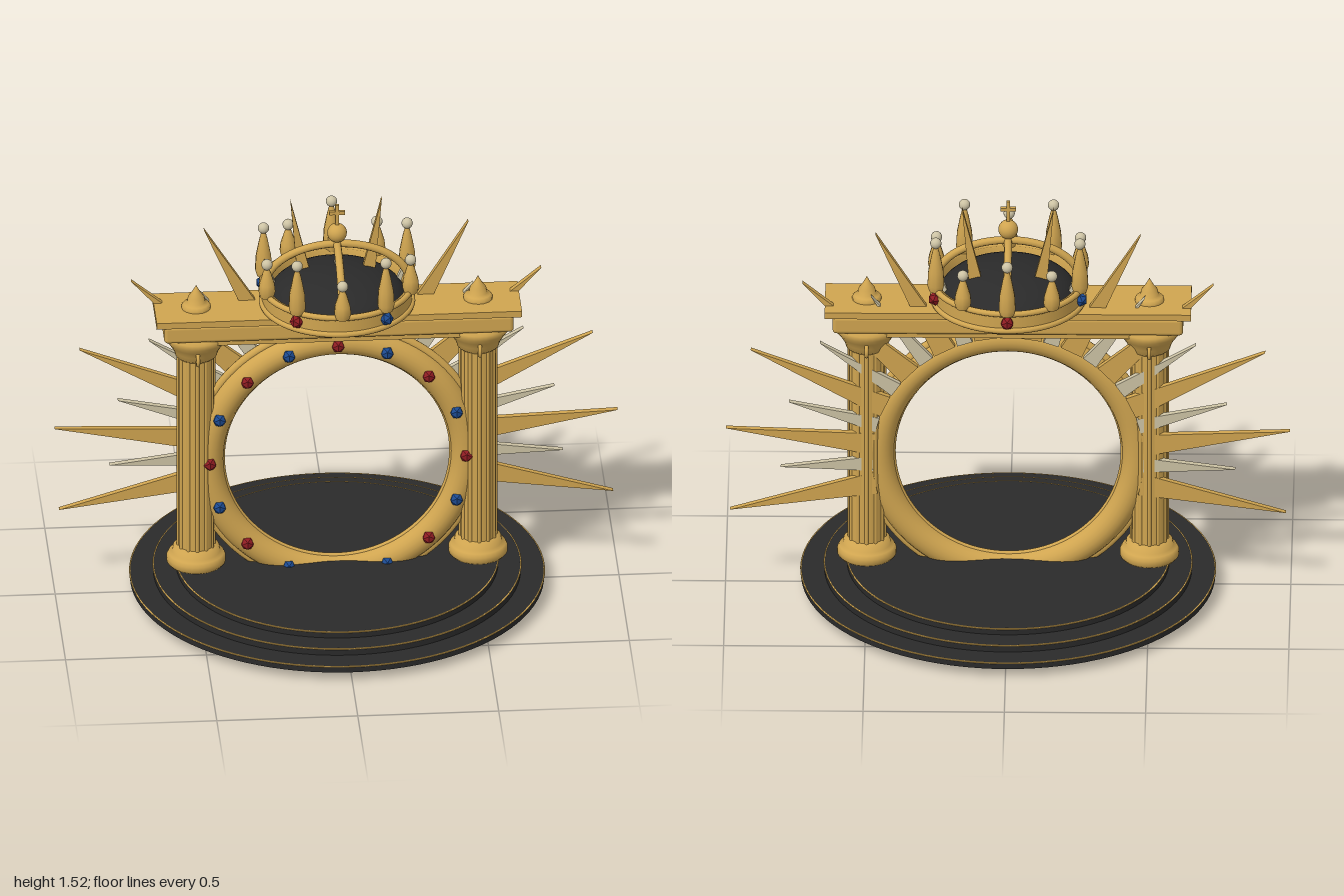
import * as THREE from 'three';
import { RoundedBoxGeometry } from 'three/addons/geometries/RoundedBoxGeometry.js';

const mat = (name, color) => Object.assign(new THREE.MeshStandardMaterial({ color }), { name });

export function createModel() {
  const gold = mat('gold', 0xd0a550);
  const pale = mat('pale silver', 0xcdc3a4);
  const black = mat('black stone', 0x2a2a2a);
  const red = mat('ruby', 0x8e1c22);
  const blue = mat('sapphire', 0x1c4a90);

  const model = new THREE.Group();
  model.name = 'crownedPortal';
  const group = (name, parent = model) => {
    const g = new THREE.Group();
    g.name = name;
    parent.add(g);
    return g;
  };
  const add = (parent, name, geo, material, x = 0, y = 0, z = 0) => {
    const m = new THREE.Mesh(geo, material);
    m.name = name;
    m.position.set(x, y, z);
    parent.add(m);
    return m;
  };
  const lathe = (pts, seg = 32) =>
    new THREE.LatheGeometry(pts.map(([r, y]) => new THREE.Vector2(r, y)), seg);
  const gemGeo = new THREE.IcosahedronGeometry(0.025, 0);

  // Stepped round dais with thin gold edging
  const dais = group('dais');
  [[0.733, 0.035, 0.06], [0.65, 0.06, 0.087], [0.57, 0.087, 0.112]].forEach(([r, y0, y1]) => {
    add(dais, 'step', new THREE.CylinderGeometry(r, r, y1 - y0, 96), black, 0, (y0 + y1) / 2, 0);
    add(dais, 'stepTrim', new THREE.TorusGeometry(r, 0.003, 6, 96), gold, 0, y1 - 0.002, 0).rotation.x = Math.PI / 2;
  });

  // Upright ring with raised rims and sixteen gems
  const RING_Y = 0.525;
  const ring = group('ring');
  ring.position.y = RING_Y;
  add(ring, 'ringBody', new THREE.TorusGeometry(0.455, 0.052, 20, 96), gold);
  add(ring, 'outerRim', new THREE.TorusGeometry(0.507, 0.017, 10, 96), gold);
  add(ring, 'innerRim', new THREE.TorusGeometry(0.409, 0.011, 10, 96), gold);
  for (let i = 0; i < 16; i++) {
    const a = (i / 16) * Math.PI * 2;
    add(ring, 'ringGem', gemGeo, i % 2 ? blue : red, 0.455 * Math.sin(a), 0.455 * Math.cos(a), 0.05);
  }

  // Fan of flat rays behind the ring, long gold and short pale in turn
  const rays = group('rays');
  rays.position.set(0, RING_Y, -0.061);
  const rayGeo = (tip, half) => new THREE.ExtrudeGeometry(
    new THREE.Shape([
      new THREE.Vector2(0.48, -half), new THREE.Vector2(tip, 0), new THREE.Vector2(0.48, half),
    ]), { depth: 0.022, bevelEnabled: false });
  const longRay = rayGeo(1.005, 0.042), shortRay = rayGeo(0.805, 0.028);
  for (let i = 0; i < 23; i++) {
    const even = i % 2 === 0;
    add(rays, even ? 'longRay' : 'shortRay', even ? longRay : shortRay, even ? gold : pale)
      .rotation.z = THREE.MathUtils.degToRad(-12 + (204 * i) / 22);
  }

  // Columns with ribs, base, capital, scrolls and finial
  const baseGeo = lathe([[0, 0.11], [0.095, 0.11], [0.105, 0.122], [0.105, 0.14], [0.098, 0.153],
    [0.085, 0.16], [0.082, 0.178], [0.064, 0.185]]);
  const capitalGeo = lathe([[0.062, 0.935], [0.074, 0.945], [0.08, 0.965], [0.095, 0.99],
    [0.11, 1.01], [0.112, 1.03], [0.1, 1.036], [0, 1.036]]);
  const finialGeo = lathe([[0.052, 1.128], [0.052, 1.138], [0.045, 1.146], [0.032, 1.152],
    [0.029, 1.172], [0.014, 1.192], [0, 1.218]], 16);
  for (const side of [-1, 1]) {
    const column = group(side > 0 ? 'leftColumn' : 'rightColumn');
    column.position.x = side * 0.5;
    add(column, 'columnBase', baseGeo, gold);
    add(column, 'shaft', new THREE.CylinderGeometry(0.064, 0.064, 0.79, 32), gold, 0, 0.56, 0);
    for (let i = 0; i < 12; i++) {
      const a = (i / 12) * Math.PI * 2;
      add(column, 'shaftRib', new THREE.CylinderGeometry(0.008, 0.008, 0.77, 8), gold,
        0.061 * Math.sin(a), 0.56, 0.061 * Math.cos(a));
    }
    add(column, 'capital', capitalGeo, gold);
    for (const z of [-0.088, 0.088]) {
      add(column, 'scroll', new THREE.TorusGeometry(0.02, 0.007, 8, 20), gold, 0, 0.965, z).rotation.y = Math.PI / 2;
    }
    add(column, 'finial', finialGeo, gold);
  }

  // Beam across the columns
  const beam = group('beam');
  add(beam, 'beamUnderside', new THREE.BoxGeometry(1.14, 0.025, 0.17), gold, 0, 1.03, 0);
  add(beam, 'beamBody', new RoundedBoxGeometry(1.24, 0.068, 0.206, 3, 0.014), gold, 0, 1.071, 0);
  add(beam, 'cornice', new THREE.BoxGeometry(1.296, 0.024, 0.23), gold, 0, 1.117, 0);

  // Crown: band, floor and dark cap
  const crown = group('crown');
  add(crown, 'crownBand', lathe([[0, 1.132], [0.266, 1.132], [0.266, 1.21], [0.248, 1.21], [0.248, 1.14]], 64), gold)
    .geometry = new THREE.CylinderGeometry(0.266, 0.266, 0.075, 64, 1, true);
  crown.children[0].position.y = 1.17;
  add(crown, 'crownFloor', new THREE.CylinderGeometry(0.266, 0.266, 0.012, 64), gold, 0, 1.138, 0);
  add(crown, 'bandLining', lathe([[0.266, 1.208], [0.246, 1.208], [0.246, 1.14]], 64), gold).material = gold;
  for (const y of [1.14, 1.206]) {
    add(crown, 'bandRim', new THREE.TorusGeometry(0.266, 0.011, 10, 64), gold, 0, y, 0).rotation.x = Math.PI / 2;
  }
  add(crown, 'cap', new THREE.SphereGeometry(0.246, 48, 12, 0, Math.PI * 2, 0, Math.PI / 2), black, 0, 1.15, 0)
    .scale.y = 0.46;

  // Ten points with pearls; the taller ones stand above a gem
  for (let k = 0; k < 10; k++) {
    const tall = k % 2, h = tall ? 0.175 : 0.115, a = (k * Math.PI) / 5;
    const point = group('crownPoint', crown);
    point.rotation.y = a;
    add(point, 'spike', lathe([[0.024, 0], [0.031, 0.025], [0.028, h * 0.45], [0.016, h * 0.8], [0.007, h]], 10),
      gold, 0, 1.205, 0.268);
    add(point, 'pearl', new THREE.SphereGeometry(0.02, 16, 12), pale, 0, 1.218 + h, 0.268);
    if (tall) add(point, 'bandGem', gemGeo, k === 1 || k === 7 ? blue : red, 0, 1.173, 0.272);
  }

  // Two crossing arches carrying the orb and cross
  for (const turn of [0, Math.PI / 2]) {
    const pts = [];
    for (let i = 0; i <= 16; i++) {
      const t = (i / 16) * Math.PI;
      pts.push(new THREE.Vector3(0.255 * Math.cos(t), 1.205 + 0.16 * Math.sin(t), 0));
    }
    add(crown, 'arch', new THREE.TubeGeometry(new THREE.CatmullRomCurve3(pts), 48, 0.014, 10), gold).rotation.y = turn;
  }
  add(crown, 'orb', new THREE.SphereGeometry(0.035, 24, 16), gold, 0, 1.408, 0);
  add(crown, 'crossUpright', new THREE.BoxGeometry(0.013, 0.085, 0.013), gold, 0, 1.477, 0);
  add(crown, 'crossArm', new THREE.BoxGeometry(0.056, 0.013, 0.013), gold, 0, 1.488, 0);

  return model;
}
